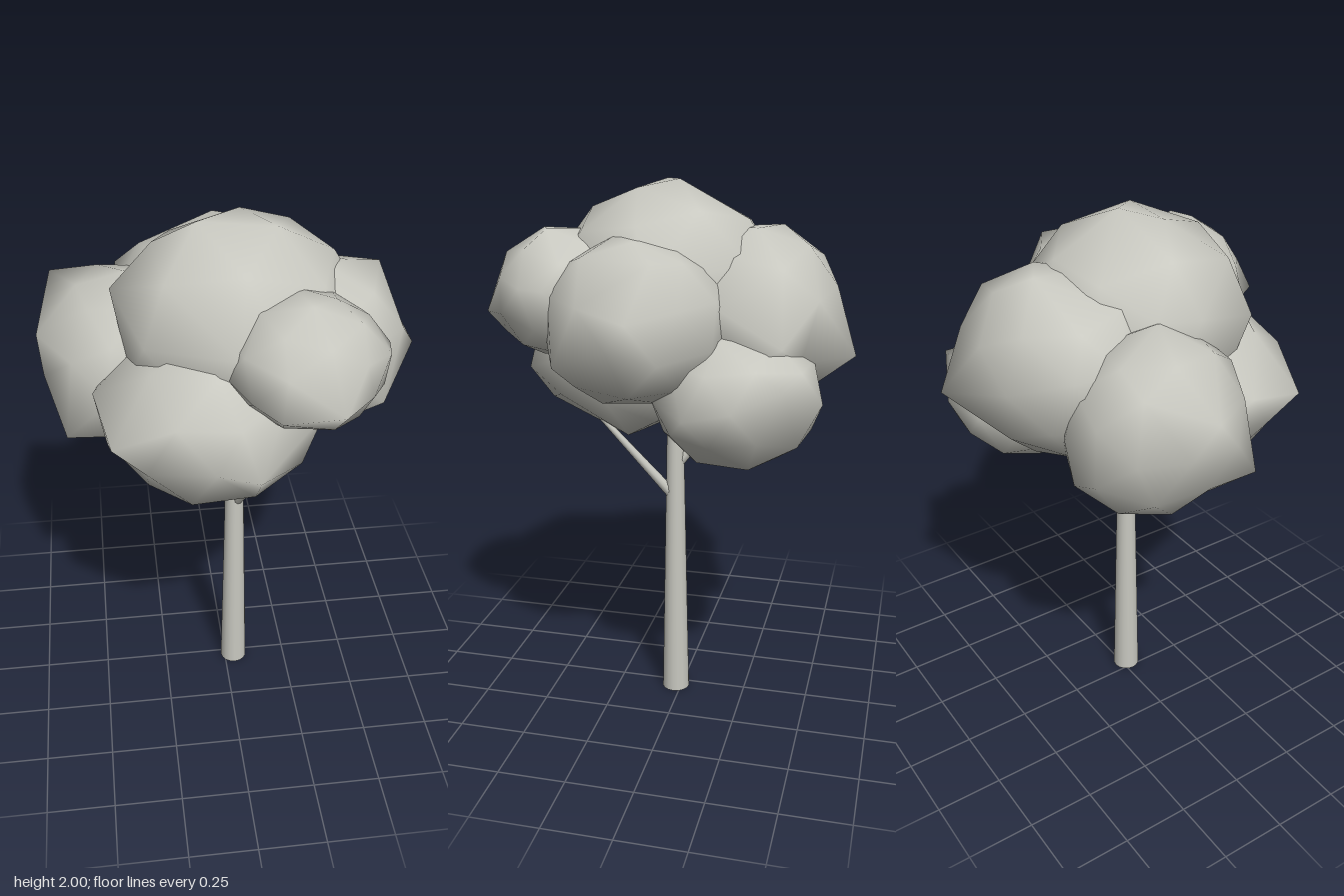
import * as THREE from 'three';
import { mergeVertices } from 'three/addons/utils/BufferGeometryUtils.js';

// small seeded generator for the irregular foliage
function seeded(seed) {
  let s = seed * 7919 + 13;
  return () => {
    s = (s * 16807) % 2147483647;
    return s / 2147483647;
  };
}

// irregular low-poly ellipsoid with smooth normals; tips pull the closest vertex out to a point
function clumpGeometry(center, radii, tips, seed) {
  const rand = seeded(seed);
  rand();
  let geo = new THREE.IcosahedronGeometry(1, 1);
  geo.deleteAttribute('uv');
  geo.deleteAttribute('normal');
  geo = mergeVertices(geo, 1e-3);
  geo.rotateY(rand() * Math.PI);
  geo.rotateX(rand());
  const p = geo.attributes.position;
  const v = new THREE.Vector3();
  for (let i = 0; i < p.count; i++) {
    v.fromBufferAttribute(p, i).multiplyScalar(0.99 + rand() * 0.08);
    p.setXYZ(i, center[0] + v.x * radii[0], center[1] + v.y * radii[1], center[2] + v.z * radii[2]);
  }
  for (const tip of tips) {
    const target = new THREE.Vector3(...tip);
    let best = 0, bestDistance = Infinity;
    for (let i = 0; i < p.count; i++) {
      const d = v.fromBufferAttribute(p, i).distanceTo(target);
      if (d < bestDistance) { bestDistance = d; best = i; }
    }
    p.setXYZ(best, ...tip);
  }
  geo.computeVertexNormals();
  return geo;
}

// tapered limb between two points
function limbGeometry(from, to, r0, r1, sides) {
  const a = new THREE.Vector3(...from), b = new THREE.Vector3(...to);
  const dir = b.clone().sub(a);
  const geo = new THREE.CylinderGeometry(r1, r0, dir.length(), sides);
  geo.applyQuaternion(new THREE.Quaternion().setFromUnitVectors(new THREE.Vector3(0, 1, 0), dir.normalize()));
  const mid = a.add(b).multiplyScalar(0.5);
  return geo.translate(mid.x, mid.y, mid.z);
}

export function createModel() {
  const tree = new THREE.Group();
  tree.name = 'tree';
  const grey = new THREE.MeshStandardMaterial({ color: 0xc8c8c0 });
  grey.name = 'warm grey';
  const add = (name, geo) => {
    const mesh = new THREE.Mesh(geo, grey);
    mesh.name = name;
    tree.add(mesh);
  };

  // trunk and branches
  add('trunk', limbGeometry([0.037, 0, 0.022], [0.037, 1.13, 0.022], 0.053, 0.031, 16));
  add('frontBranch', limbGeometry([0.047, 0.84, 0.04], [0.135, 1.16, 0.29], 0.02, 0.01, 10));
  add('backBranch', limbGeometry([0.035, 0.96, 0.01], [-0.02, 1.24, -0.21], 0.022, 0.012, 10));
  add('topBranch', limbGeometry([0.035, 1.08, 0.02], [0.05, 1.24, -0.08], 0.024, 0.014, 10));

  // foliage: centre, radii, a few outermost points, seed
  add('topFoliage', clumpGeometry([0.03, 1.62, 0.05], [0.41, 0.36, 0.39],
    [[-0.1, 1.99, 0.08], [0.05, 2, 0], [-0.39, 1.75, 0.03], [0.46, 1.7, 0.02], [0, 1.68, 0.46]], 3));
  add('backFoliage', clumpGeometry([0, 1.53, -0.26], [0.39, 0.32, 0.32],
    [[0.18, 1.44, -0.64], [-0.36, 1.64, -0.43], [0.41, 1.5, -0.42], [0, 1.85, -0.36], [0.3, 1.74, -0.4]], 4));
  add('leftwardFoliage', clumpGeometry([-0.36, 1.42, -0.13], [0.28, 0.31, 0.32],
    [[-0.655, 1.53, -0.09], [-0.6, 1.66, -0.34], [-0.57, 1.24, 0.14], [-0.33, 1.75, -0.1]], 5));
  add('lowerFrontFoliage', clumpGeometry([-0.07, 1.37, 0.21], [0.37, 0.3, 0.36],
    [[-0.47, 1.45, 0.2], [-0.42, 1.38, 0.45], [0.05, 1.3, 0.58], [-0.14, 1.7, 0.35], [0.12, 1.08, 0.18]], 6));
  add('upperFrontFoliage', clumpGeometry([0.22, 1.62, 0.36], [0.26, 0.22, 0.25],
    [[0.1, 1.56, 0.64], [0.3, 1.56, 0.63], [0.49, 1.67, 0.36], [0.3, 1.85, 0.4]], 7));
  add('sideFoliage', clumpGeometry([0.32, 1.55, 0.09], [0.29, 0.28, 0.32],
    [[0.65, 1.52, 0.1], [0.54, 1.78, -0.02], [0.5, 1.42, 0.33], [0.33, 1.84, 0.15]], 8));
  add('lowerBackFoliage', clumpGeometry([0.28, 1.3, -0.25], [0.27, 0.24, 0.29],
    [[0.55, 1.4, -0.45], [0.55, 1.28, -0.12], [0.26, 1.05, -0.25]], 9));
  return tree;
}
